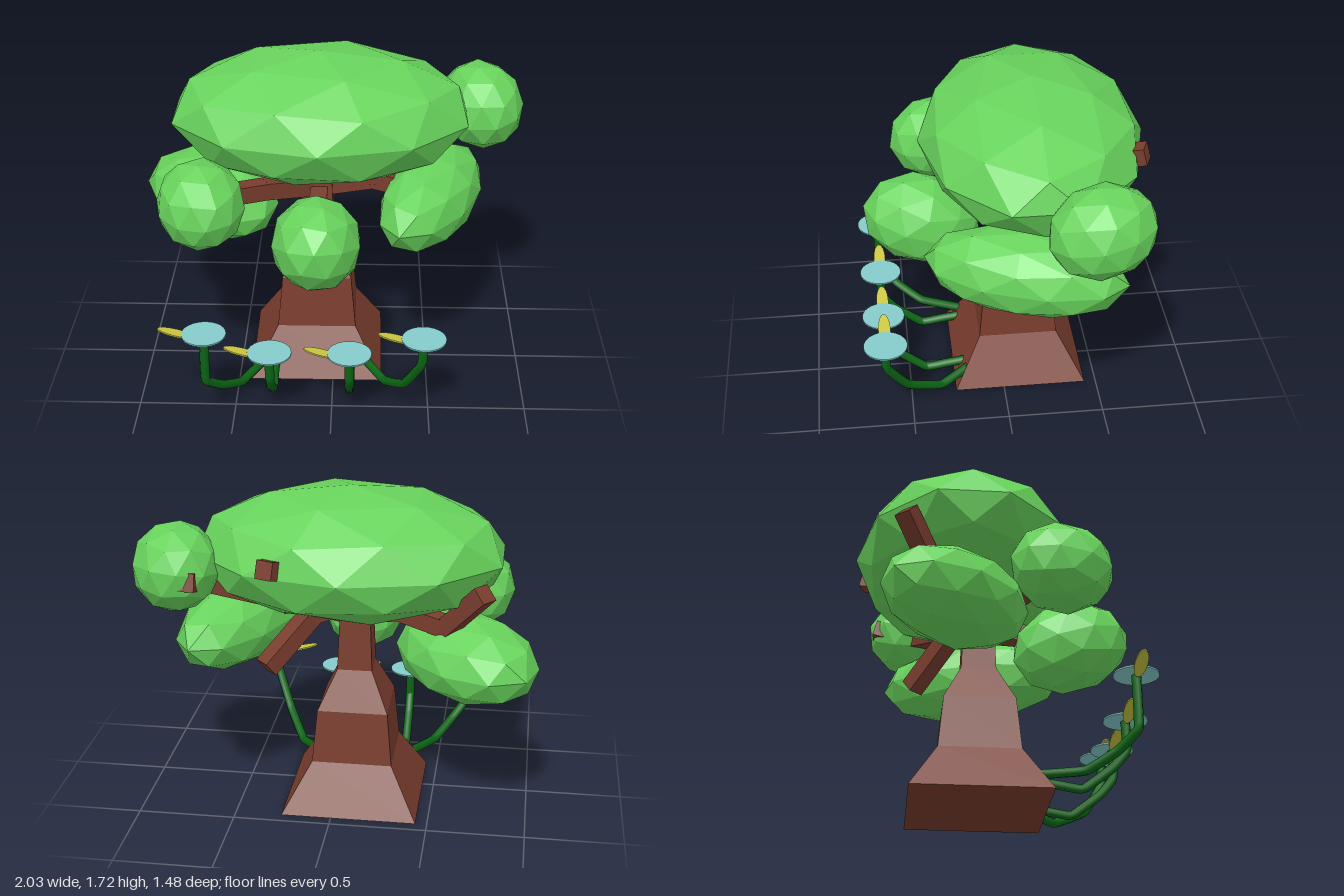
import * as THREE from 'three';

const mat = (name, color, extra = {}) => {
  const m = new THREE.MeshStandardMaterial({ color, ...extra });
  m.name = name;
  return m;
};

export function createModel() {
  const leafGreen = mat('leafGreen', 0x68d35c, { flatShading: true });
  const barkBrown = mat('barkBrown', 0x7a3d2e, { flatShading: true });
  const stemGreen = mat('stemGreen', 0x0b6414);
  const petalBlue = mat('petalBlue', 0x86cccc);
  const leafYellow = mat('leafYellow', 0xc9c63f);

  const model = new THREE.Group();
  model.name = 'tree';
  const add = (name, geometry, material, parent = model) => {
    const mesh = new THREE.Mesh(geometry, material);
    mesh.name = name;
    parent.add(mesh);
    return mesh;
  };
  const v = (p) => new THREE.Vector3(...p);

  // Square trunk, flared at the base
  const profile = [[0, 0], [0.35, 0], [0.208, 0.25], [0.182, 0.53], [0.09, 0.73], [0.075, 1.12], [0, 1.12]]
    .map(([half, y]) => new THREE.Vector2(half * Math.SQRT2, y));
  add('trunk', new THREE.LatheGeometry(profile, 4, Math.PI / 4), barkBrown).position.set(-0.09, 0, -0.09);

  // Square branches that run through the foliage
  const branches = {
    branchBackLeft: [[-0.08, 1.02, -0.1], [0.12, 1.25, -0.4], [0.24, 1.415, -0.62], [0.268, 1.435, -0.69]],
    branchLeft: [[-0.08, 1.03, -0.1], [0.3, 1.14, -0.25], [0.66, 1.27, -0.4], [0.67, 1.33, -0.62]],
    branchBackRight: [[-0.08, 1.02, -0.1], [-0.33, 1.09, -0.22], [-0.57, 1.06, -0.34], [-0.75, 1.29, -0.49]],
    branchFrontRight: [[-0.08, 1.0, -0.08], [-0.35, 1.05, 0.08], [-0.62, 1.08, 0.25]],
    branchFront: [[-0.08, 0.98, -0.08], [-0.08, 0.96, 0.3]],
    branchLowLeft: [[-0.06, 1.08, -0.1], [0.12, 1.05, -0.22], [0.32, 0.83, -0.41]],
    branchSide: [[-0.08, 1.0, -0.08], [0.2, 1.06, -0.05], [0.5, 0.98, -0.05]],
  };
  for (const [name, points] of Object.entries(branches)) {
    const branch = new THREE.Group();
    branch.name = name;
    model.add(branch);
    for (let i = 1; i < points.length; i++) {
      const a = v(points[i - 1]), b = v(points[i]);
      const piece = add('branchPiece', new THREE.BoxGeometry(0.09, 0.09, a.distanceTo(b) + 0.02), barkBrown, branch);
      piece.position.copy(a).lerp(b, 0.5);
      piece.lookAt(b);
    }
  }

  // Faceted foliage: an icosphere standing on its pole, stretched and turned
  const ball = new THREE.IcosahedronGeometry(1, 1);
  ball.rotateX(-Math.atan((1 + Math.sqrt(5)) / 2));
  ball.rotateY(Math.PI / 2);
  const foliage = [
    ['crown', [-0.075, 1.38, -0.165], [0.794, 0.335, 0.575], [0, 0, 0]],
    ['foliageBackLeft', [0.77, 1.335, -0.4], [0.222, 0.228, 0.27], [0.15, 0.25, 0.1]],
    ['foliageBackRight', [-0.665, 0.87, -0.24], [0.29, 0.22, 0.43], [0, Math.PI / 4, 0]],
    ['foliageFrontRight', [-0.665, 1.06, 0.28], [0.225, 0.225, 0.265], [0.1, 0.2, 0]],
    ['foliageFront', [-0.08, 0.91, 0.4], [0.23, 0.24, 0.315], [-0.3, 0, 0]],
    ['foliageLeft', [0.51, 0.95, -0.075], [0.235, 0.22, 0.52], [0, -0.35, 0]],
  ];
  for (const [name, position, scale, rotation] of foliage) {
    const mesh = add(name, ball, leafGreen);
    mesh.position.set(...position);
    mesh.scale.set(...scale);
    mesh.rotation.set(...rotation);
  }

  // Flowers: curved stem, flat round head and a slanted yellow leaf
  const innerStem = (x) => [[x, 0.405, 0.63], [x, 0.25, 0.63], [x, 0.16, 0.56], [x, 0.045, 0.41], [x, 0.06, 0.3], [x, 0.085, 0.12]];
  const stems = [
    [[-0.635, 0.51, 0.63], [-0.635, 0.24, 0.63], [-0.56, 0.15, 0.54], [-0.47, 0.08, 0.4], [-0.34, 0.1, 0.17]],
    innerStem(-0.31),
    innerStem(0.092),
    [[0.463, 0.498, 0.63], [0.455, 0.35, 0.63], [0.37, 0.16, 0.52], [0.27, 0.06, 0.34], [0.15, 0.095, 0.16]],
  ];
  const headGeometry = new THREE.CylinderGeometry(0.112, 0.112, 0.008, 24);
  const leafGeometry = new THREE.CylinderGeometry(0.1, 0.1, 0.008, 16);
  for (const points of stems) {
    const flower = new THREE.Group();
    flower.name = 'flower';
    model.add(flower);
    const curve = new THREE.CatmullRomCurve3(points.map(v), false, 'catmullrom', 0.15);
    add('stem', new THREE.TubeGeometry(curve, 32, 0.024, 8), stemGreen, flower);
    const [x, y, z] = points[0];
    // Rounded ends close the stem
    for (const p of [points[0], points[points.length - 1]]) {
      const cap = add('stemEnd', new THREE.SphereGeometry(0.024, 8, 6), stemGreen, flower);
      cap.position.set(...p);
      if (p === points[0]) cap.position.y -= 0.022;
    }
    add('flowerHead', headGeometry, petalBlue, flower).position.set(x, y + 0.002, z);
    const leaf = add('flowerLeaf', leafGeometry, leafYellow, flower);
    leaf.position.set(x - 0.133, y + 0.004, z);
    leaf.scale.z = 0.32;
    leaf.rotation.z = -0.26;
  }

  return model;
}
